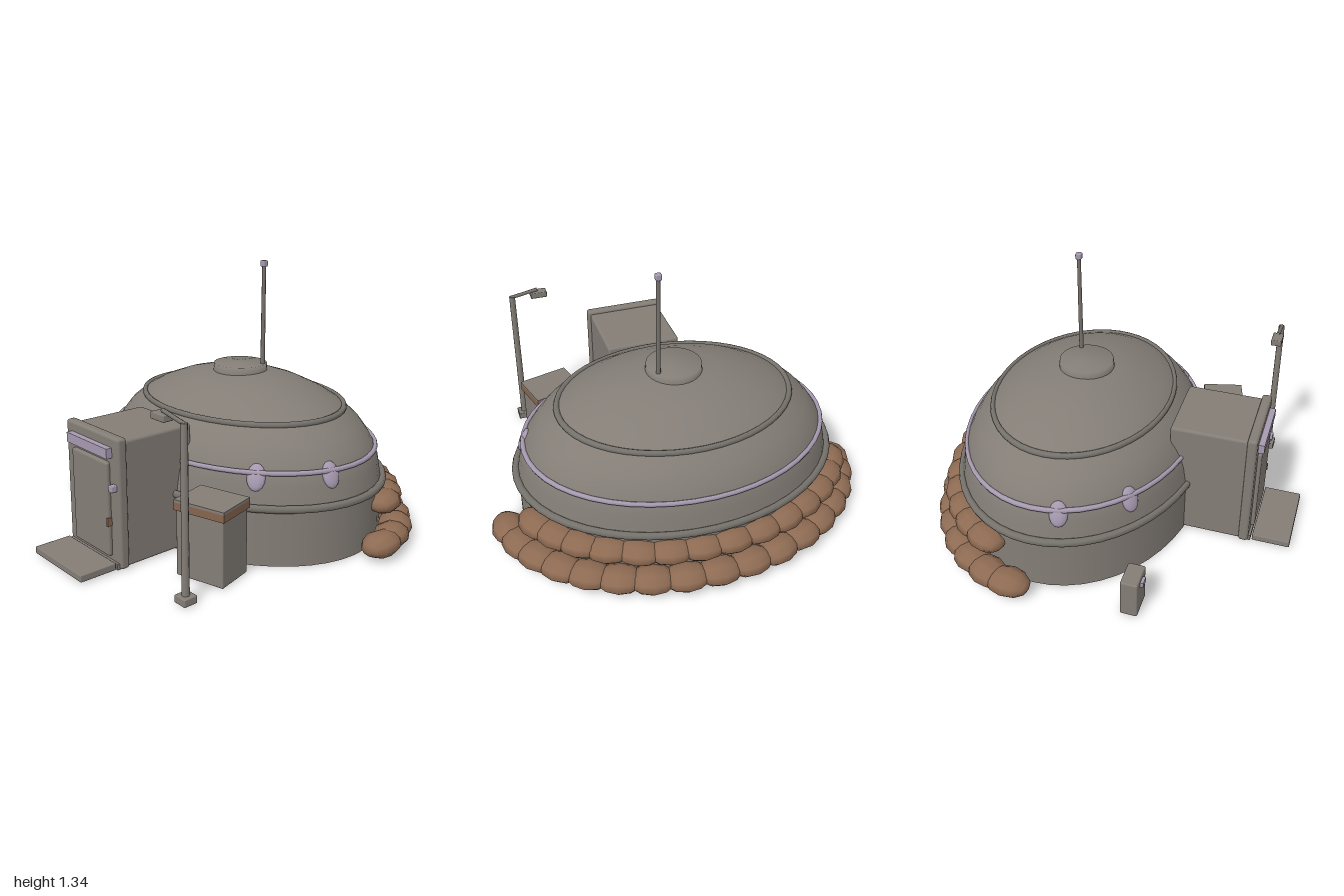
import * as THREE from 'three';
import { RoundedBoxGeometry } from 'three/addons/geometries/RoundedBoxGeometry.js';

const CZ = -0.2;      // dome centre in z
const SQUASH = 0.77;  // depth of the oval compared with its width

export function createModel() {
  const model = new THREE.Group();
  model.name = 'domeShelter';

  const mat = (name, color) => {
    const m = new THREE.MeshStandardMaterial({ color });
    m.name = name;
    return m;
  };
  const grey = mat('plasterGrey', 0x837d76);
  const trim = mat('trimGrey', 0x76726c);
  const lilac = mat('paleLilac', 0xa79ab0);
  const brown = mat('sandbagBrown', 0x8e6b53);
  const rust = mat('rustBrown', 0x85644d);

  const add = (name, geo, material, x = 0, y = 0, z = 0, parent = model) => {
    const m = new THREE.Mesh(geo, material);
    m.name = name;
    m.position.set(x, y, z);
    parent.add(m);
    return m;
  };
  // box given by its limits; r rounds the edges
  const box = (name, material, [x0, x1], [y0, y1], [z0, z1], r = 0, parent = model) => {
    const s = [x1 - x0, y1 - y0, z1 - z0];
    const geo = r ? new RoundedBoxGeometry(...s, 2, r) : new THREE.BoxGeometry(...s);
    return add(name, geo, material, (x0 + x1) / 2, (y0 + y1) / 2, (z0 + z1) / 2, parent);
  };
  const lathe = (pts, seg = 48) => new THREE.LatheGeometry(pts.map(p => new THREE.Vector2(...p)), seg);

  // oval wall, dome shell and floor
  const oval = g => g.scale(1, 1, SQUASH);
  add('wall', oval(lathe([[0.81, 0.012], [0.81, 0.3]])), grey, 0, 0, CZ);
  add('dome', oval(lathe([[0.81, 0.3], [0.79, 0.4], [0.767, 0.46], [0.735, 0.51], [0.685, 0.57],
    [0.595, 0.64], [0.5, 0.69], [0.37, 0.74], [0.22, 0.78], [0, 0.8]])), grey, 0, 0, CZ);
  add('floor', oval(new THREE.CircleGeometry(0.81, 48).rotateX(Math.PI / 2)), grey, 0, 0.012, CZ);

  // rings around the dome
  const ring = (name, material, r, tube, y) =>
    add(name, oval(new THREE.TorusGeometry(r, tube, 8, 48).rotateX(Math.PI / 2)), material, 0, y, CZ);
  ring('lowerRing', trim, 0.82, 0.02, 0.303);
  ring('lightRing', lilac, 0.772, 0.013, 0.462);
  ring('upperRing', trim, 0.592, 0.016, 0.642);

  // pale patches below the light ring
  for (const side of [-1, 1]) {
    for (const [x, z] of [[0.55, 0.215], [0.752, -0.07]]) {
      const patch = add('wallPatch', new THREE.SphereGeometry(1, 10, 8), lilac, side * x, 0.44, z);
      patch.scale.set(0.045, 0.065, 0.02);
      patch.rotation.order = 'YXZ';
      patch.rotation.set(-0.4, Math.atan2(side * x * SQUASH * SQUASH, z - CZ), 0);
    }
  }

  // roof cap and aerial
  add('roofCap', lathe([[0.142, 0.775], [0.138, 0.822], [0, 0.827]], 32), grey, 0, 0, -0.19);
  add('aerialPole', new THREE.CylinderGeometry(0.01, 0.012, 0.55, 8), trim, 0.1, 1.055, -0.255);
  box('aerialTip', lilac, [0.085, 0.115], [1.325, 1.356], [-0.27, -0.24], 0.006);

  // entrance porch
  const porch = new THREE.Group();
  porch.name = 'porch';
  model.add(porch);
  box('porchBody', grey, [-0.2, 0.2], [0.015, 0.635], [0.31, 0.72], 0.015, porch);
  box('porchFrame', grey, [-0.215, 0.215], [0.015, 0.652], [0.695, 0.745], 0.015, porch);
  box('door', grey, [-0.145, 0.145], [0.065, 0.53], [0.73, 0.765], 0.012, porch);
  box('doorSill', grey, [-0.2, 0.2], [0.015, 0.045], [0.735, 0.757], 0, porch);
  box('doorSign', lilac, [-0.165, 0.165], [0.555, 0.603], [0.74, 0.775], 0, porch);
  box('doorControl', lilac, [0.168, 0.198], [0.4, 0.432], [0.74, 0.775], 0.005, porch);
  box('doorHandle', rust, [0.138, 0.15], [0.22, 0.26], [0.74, 0.769], 0, porch);
  box('step', grey, [-0.2, 0.2], [0.02, 0.055], [0.765, 0.957], 0.005, porch);

  // turned storage bin with a rusty band under its lid
  const bin = new THREE.Group();
  bin.name = 'storageBin';
  bin.position.set(0.505, 0, 0.445);
  bin.rotation.y = 0.26;
  model.add(bin);
  box('binBody', grey, [-0.127, 0.127], [0.015, 0.34], [-0.1, 0.1], 0.005, bin);
  box('binBand', rust, [-0.135, 0.135], [0.335, 0.372], [-0.107, 0.107], 0, bin);
  box('binLid', grey, [-0.135, 0.135], [0.372, 0.385], [-0.107, 0.107], 0, bin);

  // small meter box
  box('meterBox', grey, [-0.87, -0.73], [0.015, 0.215], [0.265, 0.35], 0.008);
  box('meterPlate', lilac, [-0.822, -0.777], [0.165, 0.193], [0.345, 0.365]);

  // lamp post
  const lamp = new THREE.Group();
  lamp.name = 'lampPost';
  model.add(lamp);
  box('lampBase', grey, [0.6, 0.672], [0.015, 0.052], [0.67, 0.742], 0.005, lamp);
  add('lampPole', new THREE.CylinderGeometry(0.016, 0.018, 0.78, 10), grey, 0.636, 0.435, 0.707, lamp);
  const arm = new THREE.LineCurve3(new THREE.Vector3(0.645, 0.82, 0.707), new THREE.Vector3(0.495, 0.848, 0.707));
  add('lampArm', new THREE.TubeGeometry(arm, 1, 0.01, 8), trim, 0, 0, 0, lamp);
  box('lampHead', grey, [0.445, 0.535], [0.805, 0.837], [0.68, 0.735], 0.005, lamp);

  // two rows of sandbags round the back
  let seed = 7;
  const rand = () => (seed = (seed * 16807) % 2147483647) / 2147483647 - 0.5;
  const bagGeo = new THREE.SphereGeometry(1, 9, 6).rotateZ(Math.PI / 2);
  const rows = [
    { count: 17, rx: 0.905, rz: 0.68, y: 0.075, start: 0.13, h: 0.06 },
    { count: 14, rx: 0.84, rz: 0.635, y: 0.215, start: 0.4, h: 0.056 },
  ];
  for (const { count, rx, rz, y, start, h } of rows) {
    for (let i = 0; i < count; i++) {
      const t = start + (Math.PI - 2 * start) * i / (count - 1);
      const bag = add('sandbag', bagGeo, brown, rx * Math.cos(t), y, CZ - rz * Math.sin(t));
      bag.scale.set(0.115, h, 0.088);
      bag.rotation.set(0, Math.atan2(rz * Math.cos(t), -rx * Math.sin(t)) + rand() * 0.2, rand() * 0.1);
    }
  }
  return model;
}
